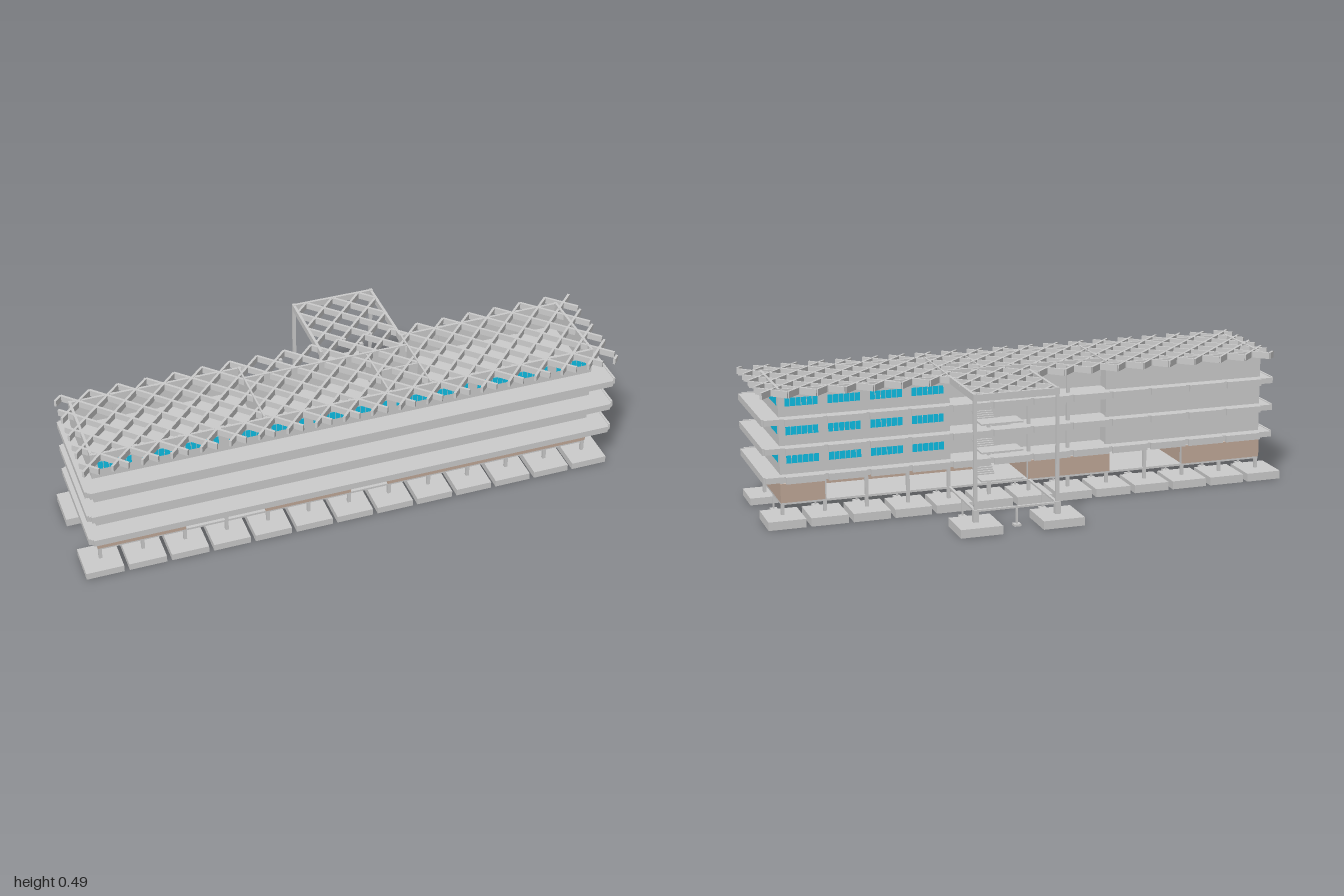
import * as THREE from 'three';

export function createModel() {
  const root = new THREE.Group();
  root.name = 'building';
  const concrete = new THREE.MeshStandardMaterial({ color: 0xcccccc });
  const brick = new THREE.MeshStandardMaterial({ color: 0xc0a898 });
  const glass = new THREE.MeshStandardMaterial({ color: 0x0dbfe6 });

  const group = (name) => {
    const g = new THREE.Group();
    g.name = name;
    root.add(g);
    return g;
  };
  // Box given by its low and high limits on each axis
  const box = (parent, name, x0, x1, y0, y1, z0, z1, mat = concrete) => {
    const m = new THREE.Mesh(new THREE.BoxGeometry(x1 - x0, y1 - y0, z1 - z0), mat);
    m.position.set((x0 + x1) / 2, (y0 + y1) / 2, (z0 + z1) / 2);
    m.name = name;
    parent.add(m);
    return m;
  };

  const bay = 0.1542;
  const colX = Array.from({ length: 13 }, (_, i) => -0.932 + bay * i);
  const floors = [0.16, 0.265, 0.37]; // underside of each balcony slab
  const top = 0.497;

  // Footings, columns and short posts along every bay line
  const footings = group('footings');
  const columns = group('columns');
  const posts = group('posts');
  const post = (x, z) => {
    box(posts, 'postFoot', x - 0.013, x + 0.013, 0.005, 0.013, z - 0.013, z + 0.013);
    box(posts, 'post', x - 0.003, x + 0.003, 0.013, 0.07, z - 0.003, z + 0.003);
  };
  for (const x of colX) {
    box(footings, 'frontFooting', x - 0.068, x + 0.068, 0.005, 0.031, 0.236, 0.374);
    box(footings, 'backFooting', x - 0.068, x + 0.068, 0.003, 0.034, -0.08, 0.072);
    for (const z of [0.304, -0.003])
      box(columns, 'column', x - 0.006, x + 0.006, 0.03, top - 0.003, z - 0.006, z + 0.006);
    post(x, 0.15);
  }

  // Ground slab and balcony slabs with their edge panels
  const slabs = group('slabs');
  box(slabs, 'groundSlab', -0.938, 0.924, 0.071, 0.079, -0.009, 0.31);
  for (const y of floors) {
    box(slabs, 'balconySlab', -0.972, 0.982, y + 0.002, y + 0.023, -0.042, 0.38);
    box(slabs, 'frontFascia', -0.965, 0.975, y, y + 0.025, 0.38, 0.389);
    for (const s of [-1, 1])
      box(slabs, 'endFascia', 0.005 + s * 0.981 - 0.004, 0.005 + s * 0.981 + 0.004, y, y + 0.025, -0.035, 0.375);
    for (let i = 0; i < 12; i++)
      box(slabs, 'backPanel', colX[i] + 0.007, colX[i + 1] - 0.007, y - 0.002, y + 0.023, -0.052, -0.042);
  }

  // Upper walls
  const walls = group('upperWalls');
  const y0 = 0.18;
  box(walls, 'frontWall', -0.938, 0.924, y0, top - 0.004, 0.301, 0.31);
  box(walls, 'rightWall', 0.915, 0.924, y0, top - 0.002, -0.009, 0.301);
  box(walls, 'leftWall', -0.938, -0.929, y0, top - 0.002, -0.009, 0.301);
  box(walls, 'backWallEast', 0.302, 0.915, y0, top - 0.004, -0.009, 0);
  box(walls, 'backWallWest', -0.929, -0.317, y0, top - 0.004, -0.009, 0);
  box(walls, 'recessedBackWall', -0.317, 0.302, y0, top, 0.06, 0.068);
  box(walls, 'partition', -0.321, -0.315, y0, top, 0, 0.301);
  box(walls, 'partition', 0.296, 0.302, y0, top, 0, 0.301);
  box(walls, 'partition', 0.139, 0.145, y0, top - 0.004, 0.068, 0.301);
  box(walls, 'partition', 0.145, 0.296, y0, top - 0.004, 0.174, 0.18);

  // Ground floor rooms in brick
  const rooms = group('groundRooms');
  const gy0 = 0.079, gy1 = 0.149, t = 0.008;
  const room = (x0, x1, z0, z1) => {
    box(rooms, 'roomFront', x0, x1, gy0, gy1, z1 - t, z1, brick);
    box(rooms, 'roomBack', x0, x1, gy0, gy1, z0, z0 + t, brick);
    box(rooms, 'roomSide', x0, x0 + t, gy0, gy1, z0 + t, z1 - t, brick);
    box(rooms, 'roomSide', x1 - t, x1, gy0, gy1, z0 + t, z1 - t, brick);
  };
  room(-0.94, -0.62, -0.012, 0.313);
  room(-0.325, -0.003, -0.012, 0.313);
  room(0.14, 0.764, 0.18, 0.313);
  room(0.764, 0.925, -0.012, 0.313);

  // Window groups of six panes; place(u, y, w, h) puts one pane on a wall
  const windows = group('windows');
  const panes = (width, y, h, place) => {
    const step = width / 6;
    for (let i = 0; i < 6; i++) place((i - 2.5) * step, y, step * 0.44, h / 2);
  };
  [0.237, 0.341, 0.445].forEach((y, level) => {
    for (let i = 0; i < 12; i++) {
      const cx = (colX[i] + colX[i + 1]) / 2;
      const small = i === 7 && level < 2;
      panes(small ? 0.13 : 0.12, small ? y + 0.007 : y, small ? 0.015 : 0.03, (u, py, w, h) =>
        box(windows, 'frontPane', cx + u - w, cx + u + w, py - h, py + h, 0.309, 0.3115, glass));
      if (i > 7) panes(0.12, y, 0.03, (u, py, w, h) =>
        box(windows, 'backPane', cx + u - w, cx + u + w, py - h, py + h, -0.0105, -0.008, glass));
    }
    for (const cz of [0.226, 0.075])
      panes(0.12, y, 0.03, (u, py, w, h) =>
        box(windows, 'rightPane', 0.923, 0.9255, py - h, py + h, cz + u - w, cz + u + w, glass));
  });

  // Diagonal lattice beams, clipped to a rectangle
  const lattice = (name, x0, x1, z0, z1, pitch) => {
    const g = group(name);
    for (const s of [1, -1]) {
      // line: x = k + s * (z - z0)
      const depth = z1 - z0;
      for (let k = x0 - depth - (x0 % pitch); k < x1 + depth; k += pitch) {
        const a = s > 0 ? x0 - k : k - x1;
        const b = s > 0 ? x1 - k : k - x0;
        const d0 = Math.max(0, a), d1 = Math.min(depth, b);
        if (d1 - d0 < 0.01) continue;
        const dm = (d0 + d1) / 2;
        const m = new THREE.Mesh(new THREE.BoxGeometry(0.009, 0.024, (d1 - d0) * Math.SQRT2), concrete);
        m.position.set(k + s * dm, 0.482, z0 + dm);
        m.rotation.y = s * Math.PI / 4;
        m.name = 'latticeBeam';
        g.add(m);
      }
    }
  };
  lattice('roofLattice', -0.98, 0.99, -0.052, 0.388, 0.1028);
  lattice('towerLattice', -0.005, 0.3, -0.312, -0.045, 0.1028);

  // Rear stair tower frame
  const tower = group('stairTower');
  for (const x of [-0.007, 0.298]) {
    box(tower, 'towerFooting', x - 0.077, x + 0.077, 0.004, 0.035, -0.388, -0.236);
    box(tower, 'towerColumnBase', x - 0.01, x + 0.01, 0.035, 0.08, -0.322, -0.302);
    box(tower, 'towerColumn', x - 0.006, x + 0.006, 0.08, top, -0.317, -0.306);
    box(tower, 'towerRoofBeam', x - 0.005, x + 0.005, 0.47, 0.495, -0.31, -0.003);
    box(tower, 'towerGroundBeam', x - 0.005, x + 0.005, 0.071, 0.078, -0.31, -0.003);
    post(x, -0.157);
  }
  box(tower, 'towerRoofBeam', -0.007, 0.298, 0.47, 0.495, -0.317, -0.307);
  box(tower, 'towerGroundBeam', -0.007, 0.298, 0.071, 0.078, -0.316, -0.307);
  post(0.145, -0.312);

  // Two flights and a landing per storey
  const stairs = group('stairs');
  const flight = (x0, x1, zA, yA, zB, yB, n) => {
    for (let i = 0; i < n; i++) {
      const za = zA + ((zB - zA) * i) / n, zb = zA + ((zB - zA) * (i + 1)) / n;
      const y = yA + ((yB - yA) * (i + 1)) / n;
      box(stairs, 'step', x0, x1, y - 0.009, y, Math.min(za, zb), Math.max(za, zb));
    }
  };
  for (const y of [0.08, 0.185, 0.29]) {
    flight(0.067, 0.138, -0.009, y + 0.008, -0.085, y + 0.053, 8);
    box(stairs, 'landing', 0.067, 0.225, y + 0.048, y + 0.054, -0.16, -0.083);
    flight(0.152, 0.225, -0.085, y + 0.053, -0.035, y + 0.087, 6);
  }
  return root;
}
